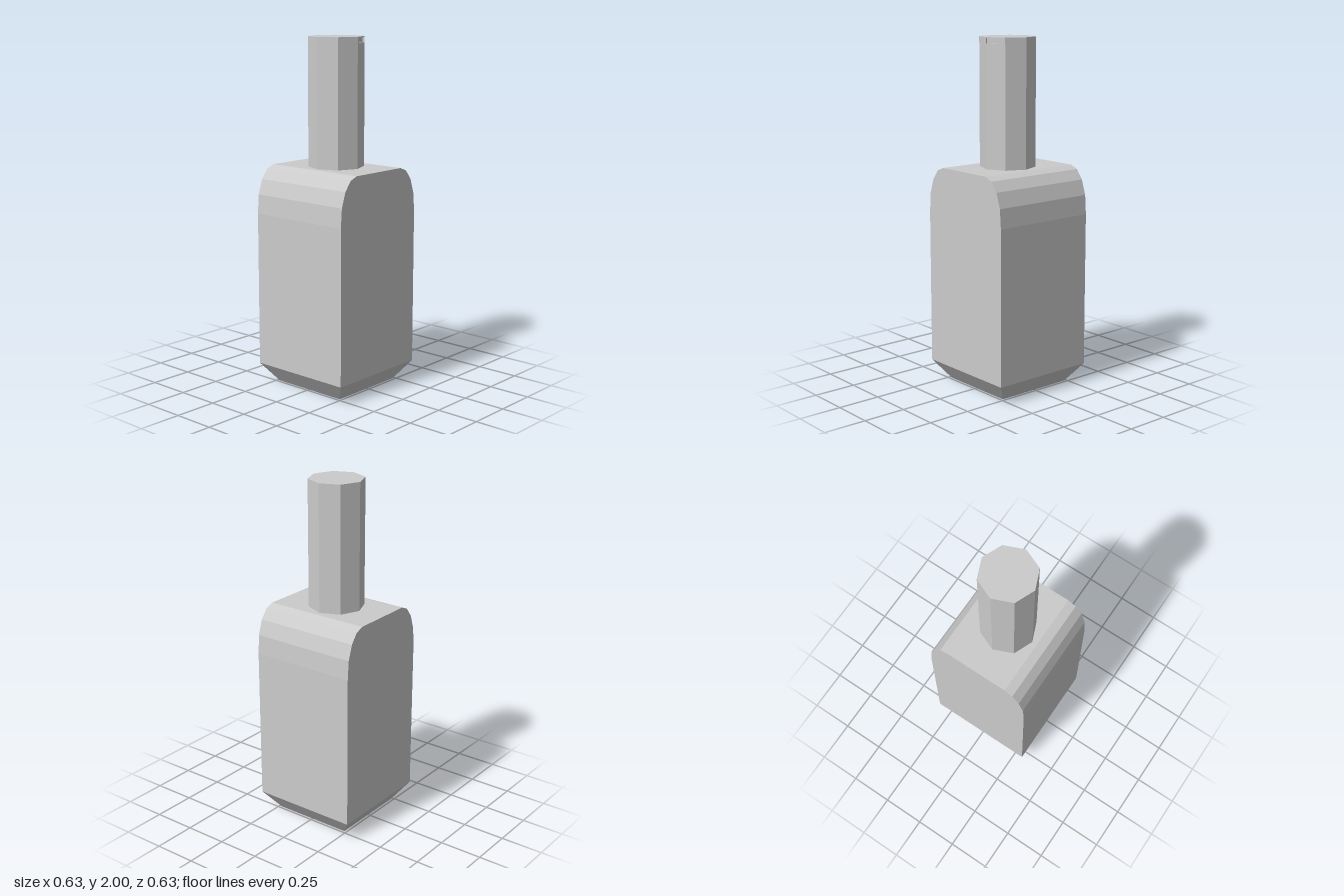
import * as THREE from 'three';

const HALF = 0.316;       // half width of the square body
const NECK_R = 0.158;
const SHOULDER_Y = 1.27;

export function createModel() {
  const group = new THREE.Group();
  const material = new THREE.MeshStandardMaterial({ color: 0xcccccc, flatShading: true });

  const add = (name, geometry) => {
    const mesh = new THREE.Mesh(geometry, material);
    mesh.name = name;
    group.add(mesh);
  };

  // Body: front outline with faceted shoulders, extruded front to back
  const side = [[HALF, 0.11], [HALF, 1.0], [0.308, 1.11], [0.28, 1.195], [0.238, 1.25], [0.188, SHOULDER_Y]];
  const outline = [...side, ...side.map(([x, y]) => [-x, y]).reverse()];
  const bodyShape = new THREE.Shape(outline.map(([x, y]) => new THREE.Vector2(x, y)));
  const body = new THREE.ExtrudeGeometry(bodyShape, { depth: 2 * HALF, bevelEnabled: false });
  body.translate(0, 0, -HALF);
  add('body', body);

  // Base: four-sided taper under the body
  const base = new THREE.CylinderGeometry(HALF * Math.SQRT2, 0.235 * Math.SQRT2, 0.11, 4);
  base.rotateY(Math.PI / 4);
  base.translate(0, 0.055, 0);
  add('base', base);

  // Neck: octagonal prism with a shallow slot in one face just below the top
  const corners = Array.from({ length: 8 }, (_, i) => {
    const a = -Math.PI / 4 + i * Math.PI / 4;
    return new THREE.Vector2(Math.cos(a) * NECK_R, Math.sin(a) * NECK_R);
  });
  const first = corners[0], last = corners[7];
  const inward = first.clone().add(last).normalize().multiplyScalar(-0.012);
  const near = last.clone().lerp(first, 0.03);
  const far = last.clone().lerp(first, 0.95);
  const slotted = [...corners, near, near.clone().add(inward), far.clone().add(inward), far];

  const prism = (points, y0, y1) => {
    const geometry = new THREE.ExtrudeGeometry(new THREE.Shape(points), { depth: y1 - y0, bevelEnabled: false });
    geometry.rotateX(-Math.PI / 2);
    geometry.translate(0, y0, 0);
    return geometry;
  };
  add('neck', prism(corners, SHOULDER_Y, 1.965));
  add('neckSlot', prism(slotted, 1.965, 1.994));
  add('neckRim', prism(corners, 1.994, 2));

  return group;
}
